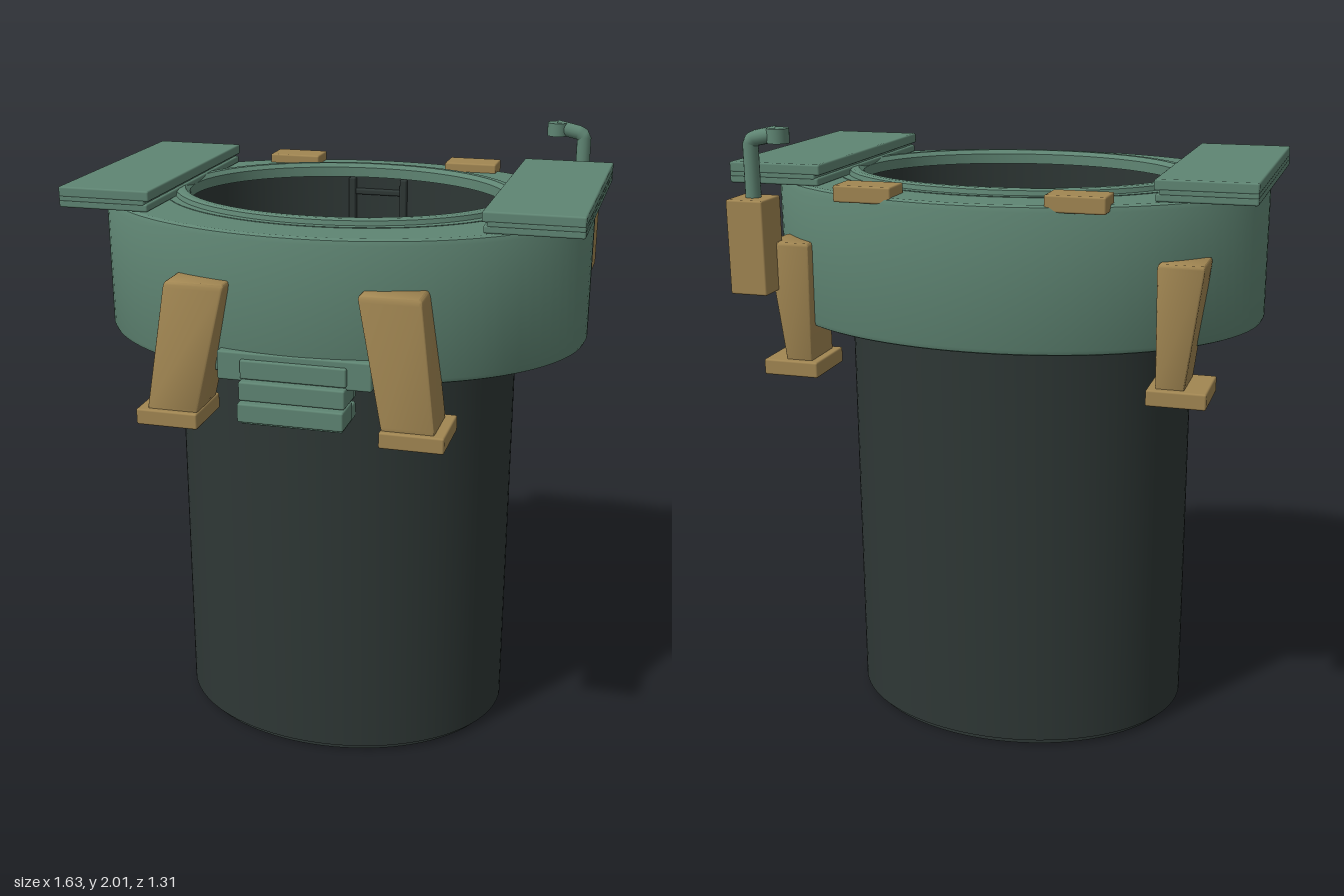
import * as THREE from 'three';
import { toCreasedNormals } from 'three/addons/utils/BufferGeometryUtils.js';
import { RoundedBoxGeometry } from 'three/addons/geometries/RoundedBoxGeometry.js';

const material = (name, color) => {
  const m = new THREE.MeshStandardMaterial({ color });
  m.name = name;
  return m;
};

export function createModel() {
  const green = material('sage green', 0x5f8573);
  const dark = material('charcoal', 0x2e3735);
  const gold = material('ochre', 0xa18652);
  const model = new THREE.Group();
  model.name = 'hatchShaft';
  const CZ = -0.04; // centre of all the oval parts

  const add = (name, geometry, mat) => {
    const mesh = new THREE.Mesh(geometry, mat);
    mesh.name = name;
    model.add(mesh);
    return mesh;
  };

  // Box given by its limits, with slightly rounded edges
  const box = (name, mat, x0, x1, y0, y1, z0, z1, r = 0.006) => {
    const g = new RoundedBoxGeometry(x1 - x0, y1 - y0, z1 - z0, 2, r);
    g.translate((x0 + x1) / 2, (y0 + y1) / 2, (z0 + z1) / 2);
    return add(name, g, mat);
  };

  // Oval turned part: profile of [radius, y], squashed along z
  const oval = (name, mat, profile, ratio) => {
    let g = new THREE.LatheGeometry(profile.map(p => new THREE.Vector2(...p)), 96);
    g.scale(1, 1, ratio);
    g.translate(0, 0, CZ);
    g = toCreasedNormals(g, 0.5);
    return add(name, g, mat);
  };

  // Tapered, leaning block between two rectangles [x0, x1, z0, z1]
  const taper = (name, mat, y0, y1, low, high) => {
    const g = new RoundedBoxGeometry(1, 1, 1, 2, 0.05);
    const p = g.attributes.position;
    for (let i = 0; i < p.count; i++) {
      const t = p.getY(i) + 0.5, u = p.getX(i) + 0.5, w = p.getZ(i) + 0.5;
      const [a, b, c, d] = low.map((v, k) => v + (high[k] - v) * t);
      p.setXYZ(i, a + (b - a) * u, y0 + (y1 - y0) * t, c + (d - c) * w);
    }
    g.deleteAttribute('normal');
    return add(name, toCreasedNormals(g, 0.7), mat);
  };

  // Hollow shaft with a closed bottom
  oval('shaft', dark, [
    [0, 0], [0.55, 0], [0.55, 0.015], [0.57, 0.02], [0.57, 1.81],
    [0.545, 1.81], [0.545, 0.05], [0, 0.05],
  ], 0.46 / 0.57);

  // Collar around the top of the shaft
  oval('collar', green, [
    [0.56, 1.38], [0.782, 1.38], [0.794, 1.385], [0.8, 1.398], [0.8, 1.8],
    [0.794, 1.814], [0.782, 1.82], [0.585, 1.82],
  ], 0.61 / 0.8);

  // Raised rim of the opening
  oval('rim', green, [
    [0.52, 1.795], [0.6, 1.795], [0.6, 1.822], [0.57, 1.822], [0.566, 1.836],
    [0.556, 1.841], [0.535, 1.841], [0.52, 1.828], [0.52, 1.795],
  ], 0.41 / 0.52);

  for (const s of [-1, 1]) {
    const span = (a, b) => (s > 0 ? [a, b] : [-b, -a]);

    // Open hatch door with a grooved inner edge
    box('hatchDoor', green, ...span(0.515, 0.815), 1.852, 1.885, -0.47, 0.385);
    box('hatchCore', green, ...span(0.53, 0.815), 1.838, 1.858, -0.47, 0.385);
    box('hatchBase', green, ...span(0.52, 0.815), 1.82, 1.844, -0.47, 0.385);

    // Front leg and foot
    taper('frontLeg', gold, 1.27, 1.67,
      [...span(0.285, 0.445), 0.47, 0.64], [...span(0.2, 0.39), 0.45, 0.6]);
    box('frontFoot', gold, ...span(0.28, 0.475), 1.23, 1.28, 0.45, 0.655);

    // Back leg and foot
    taper('backLeg', gold, 1.27, 1.65,
      [...span(0.545, 0.63), -0.52, -0.355], [...span(0.54, 0.68), -0.52, -0.37]);
    box('backFoot', gold, ...span(0.52, 0.7), 1.23, 1.28, -0.54, -0.335);

    // Clamp on top of the collar
    box('topClamp', gold, ...span(0.23, 0.41), 1.8, 1.85, -0.615, -0.505);

    // Small fitting on the inner wall with a coloured front
    box('innerFitting', green, ...span(0.24, 0.335), 1.53, 1.61, -0.45, -0.362);
    box('innerFittingFace', gold, ...span(0.25, 0.325), 1.54, 1.6, -0.364, -0.359, 0.002);

    // Ladder rail
    box('ladderRail', dark, ...span(0.08, 0.105), 0.05, 1.79, -0.485, -0.452);
  }

  // Ladder rungs
  for (let y = 0.2; y < 1.75; y += 0.17) {
    box('ladderRung', dark, -0.09, 0.09, y, y + 0.02, -0.48, -0.458);
  }

  // Front steps under the collar
  box('stepMount', green, -0.24, 0.24, 1.37, 1.46, 0.4, 0.574);
  for (let i = 0; i < 3; i++) {
    const top = 1.44 - i * 0.063;
    box('step', green, -0.165, 0.165, top - 0.06, top, 0.46 + i * 0.025, 0.585 + i * 0.017);
    box('stepRiser', green, -0.16, 0.16, top - 0.07, top - 0.02, 0.45, 0.57 + i * 0.017);
  }

  // Periscope on its mounting box
  box('periscopeMount', gold, 0.645, 0.765, 1.5, 1.79, -0.605, -0.475);
  const path = new THREE.CurvePath();
  const bend = [[0.705, 1.78], [0.705, 1.955], [0.69, 1.968], [0.61, 1.985]]
    .map(([x, y]) => new THREE.Vector3(x, y, -0.535));
  for (let i = 0; i < 3; i++) path.add(new THREE.LineCurve3(bend[i], bend[i + 1]));
  add('periscopeTube', new THREE.TubeGeometry(path, 40, 0.024, 16), green);
  const head = add('periscopeHead', new THREE.CylinderGeometry(0.034, 0.034, 0.044, 24), green);
  head.position.set(0.613, 1.978, -0.535);

  return model;
}
